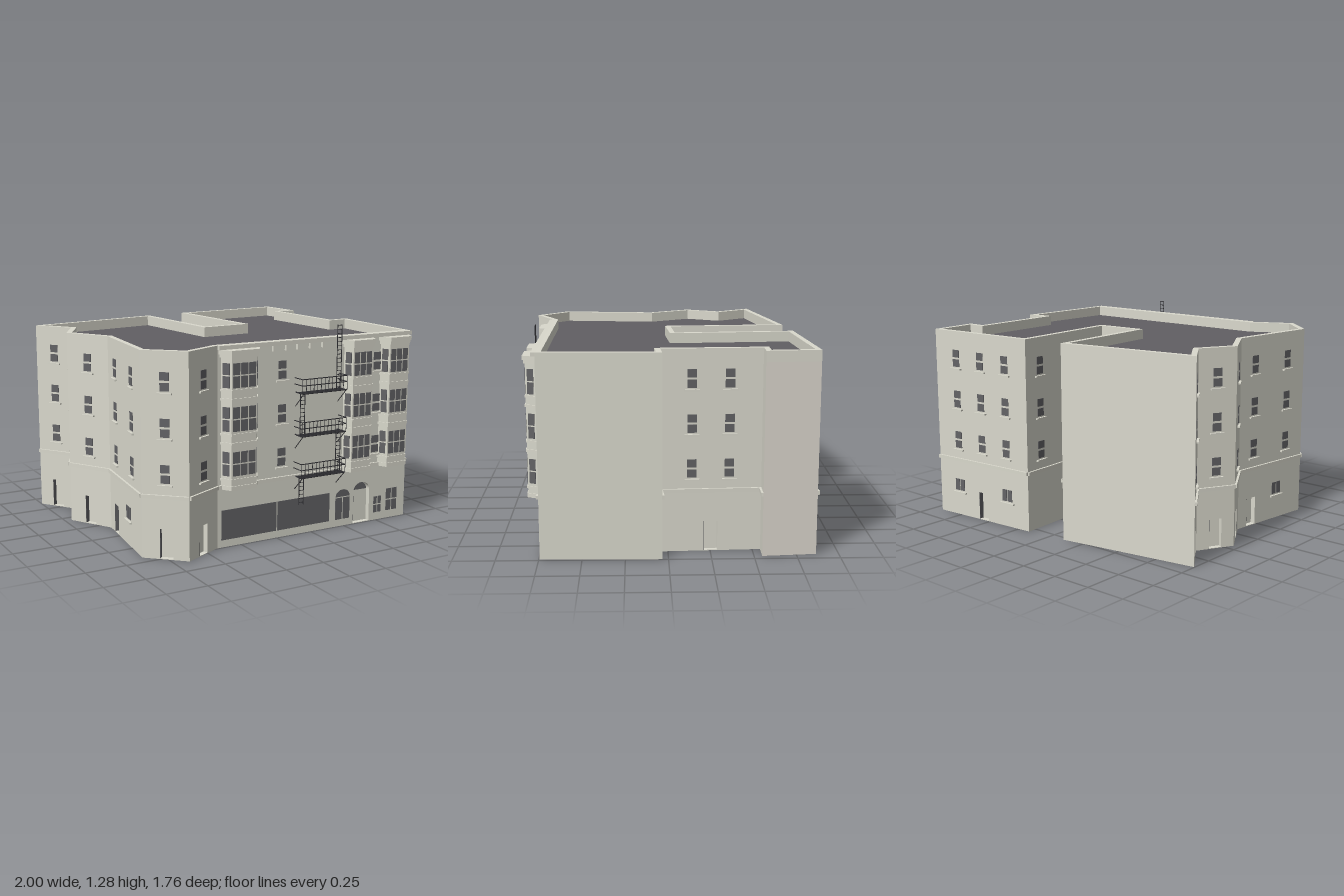
import * as THREE from 'three';

const mat = (name, color, side = THREE.FrontSide) => {
  const m = new THREE.MeshStandardMaterial({ color, side });
  m.name = name;
  return m;
};
const wallMat = mat('stone wall', 0xdad9cd, THREE.DoubleSide);
const warmMat = mat('party wall', 0xdbd6cd, THREE.DoubleSide);
const trimMat = mat('trim', 0xd9d8cc);
const glassMat = mat('glass', 0x636366);
const roofMat = mat('roof', 0x615f63, THREE.DoubleSide);
const ironMat = mat('iron', 0x313135);

const TOP = 1.21, ROOF = 1.145, FRONT = 0.745;
const ROWS = [0.451, 0.718, 0.982];

function add(parent, name, geo, material, x = 0, y = 0, z = 0) {
  const m = new THREE.Mesh(geo, material);
  m.name = name;
  m.position.set(x, y, z);
  parent.add(m);
  return m;
}
const box = (p, name, w, h, d, m, x, y, z) => add(p, name, new THREE.BoxGeometry(w, h, d), m, x, y, z);

// Upright prism from a plan outline of [x, z] points
const planShape = (pts, S = THREE.Shape) => new S(pts.map(([x, z]) => new THREE.Vector2(x, -z)));
function prism(shape, y0, y1) {
  const g = new THREE.ExtrudeGeometry(shape, { depth: y1 - y0, bevelEnabled: false });
  return g.rotateX(-Math.PI / 2).translate(0, y0, 0);
}

// Group whose x runs from a to b and whose z points out of the wall
function faceFrame(parent, name, a, b) {
  const g = new THREE.Group();
  g.name = name;
  g.position.set(a[0], 0, a[1]);
  g.rotation.y = Math.atan2(-(b[1] - a[1]), b[0] - a[0]);
  parent.add(g);
  return g;
}

// Plan outline moved inwards with mitred corners
function inset(pts, t) {
  const n = pts.length;
  const normal = (a, b) => {
    const l = Math.hypot(b[0] - a[0], b[1] - a[1]);
    return [-(b[1] - a[1]) / l, (b[0] - a[0]) / l];
  };
  return pts.map((p, i) => {
    const n1 = normal(pts[(i + n - 1) % n], p), n2 = normal(p, pts[(i + 1) % n]);
    const k = t / (1 + n1[0] * n2[0] + n1[1] * n2[1]);
    return [p[0] - k * (n1[0] + n2[0]), p[1] - k * (n1[1] + n2[1])];
  });
}

// Door outline, centred on x, with an optional arched head
function opening(S, { x, y, w, h, rise = 0 }, grow = 0) {
  const s = new S(), r = w / 2 + grow, bottom = y - Math.min(grow, 0.002), top = y + h - rise + grow;
  s.moveTo(x - r, bottom).lineTo(x + r, bottom).lineTo(x + r, top);
  if (rise) s.absellipse(x, top, r, rise, 0, Math.PI, false);
  else s.lineTo(x - r, top);
  s.closePath();
  return s;
}

// Regular grid of glass panes
function panes(g, x, y, w, h, cols, rows, z, gap = 0.008) {
  const pw = (w - gap * (cols - 1)) / cols, ph = (h - gap * (rows - 1)) / rows;
  for (let i = 0; i < cols; i++) for (let j = 0; j < rows; j++) {
    box(g, 'pane', pw, ph, 0.004, glassMat, x - w / 2 + pw / 2 + i * (pw + gap), y + ph / 2 + j * (ph + gap), z);
  }
}

function fanlight(g, x, y, r, rise, z) {
  const fan = new THREE.Shape();
  fan.absellipse(x, y, r, rise, 0, Math.PI, false);
  add(g, 'fanlight', new THREE.ShapeGeometry(fan), glassMat, 0, 0, z);
}

// Recessed door with a dark jamb on its left
function buildDoor(g, o) {
  const depth = 0.034, rim = opening(THREE.Shape, o, 0.005);
  rim.holes.push(opening(THREE.Path, o));
  add(g, 'doorReveal', new THREE.ExtrudeGeometry(rim, { depth: depth - 0.001, bevelEnabled: false }), trimMat, 0, 0, -depth);
  const leaf = opening(THREE.Shape, o, 0.003);
  add(g, 'door', new THREE.ShapeGeometry(leaf), wallMat, 0, 0, -depth + 0.002);
  add(g, 'doorBack', new THREE.ExtrudeGeometry(leaf, { depth: 0.003, bevelEnabled: false }), glassMat, 0, 0, -depth - 0.003);
  box(g, 'doorJamb', 0.002, o.h - (o.rise ?? 0), depth - 0.002, glassMat, o.x - o.w / 2 + 0.001, o.y + o.h / 2 - (o.rise ?? 0) / 2, -depth / 2);
  if (o.rise) fanlight(g, o.x, o.y + o.h - o.rise, o.w / 2 - 0.004, o.rise - 0.004, -depth + 0.004);
}

// Window of flat panes, with an optional sill and arched head
function buildWindow(g, { x, y, w, h, grid, gap, sill, rise }) {
  panes(g, x, y, w, h, grid[0], grid[1], 0.001, gap);
  if (rise) fanlight(g, x, y + h + 0.007, w / 2, rise, 0.003);
  if (sill) box(g, 'sill', w + 0.033, 0.01, 0.016, trimMat, x, y - 0.014, 0.006);
}

// Flat wall with doors cut out and windows set on its face
function buildWall(parent, name, a, b, doors, windows, { plain = false, material = wallMat } = {}) {
  const L = Math.hypot(b[0] - a[0], b[1] - a[1]);
  const g = faceFrame(parent, name, a, b);
  const s = new THREE.Shape([[0, 0], [L, 0], [L, ROOF], [0, ROOF]].map(p => new THREE.Vector2(...p)));
  for (const d of doors) {
    s.holes.push(opening(THREE.Path, d));
    buildDoor(g, d);
  }
  windows.forEach(w => buildWindow(g, w));
  add(g, 'wallFace', new THREE.ShapeGeometry(s), material);
  if (!plain) box(g, 'band', L, 0.022, 0.014, trimMat, L / 2, 0.372, 0.006);
}

const sash = (x, y) => ({ x, y, w: 0.055, h: 0.108, grid: [1, 2], gap: 0.013, sill: true });
const lowWindow = (x) => ({ x, y: 0.165, w: 0.08, h: 0.075, grid: [2, 1], sill: true });
const door = (x) => ({ x, y: 0.003, w: 0.081, h: 0.178 });

// Faceted bay rising over three floors
function buildBay(parent, x, hw, fw) {
  const g = new THREE.Group();
  g.name = 'bay';
  g.position.set(x, 0, FRONT);
  parent.add(g);
  const d = 0.06;
  const plan = (e) => [[-hw - e, -0.005], [-hw - e, 0], [-fw - e / 2, d + e], [fw + e / 2, d + e], [hw + e, 0], [hw + e, -0.005]];
  add(g, 'bayBody', prism(planShape(plan(0)), 0.37, 1.17), trimMat);
  for (const [y0, y1, e] of [[0.36, 0.385, 0.006], [0.415, 0.428, 0.006], [0.63, 0.645, 0.007], [0.685, 0.697, 0.006],
    [0.89, 0.905, 0.007], [0.945, 0.957, 0.006], [1.14, 1.16, 0.008], [1.16, 1.185, 0.016]]) {
    add(g, 'bayMoulding', prism(planShape(plan(e)), y0, y1), trimMat);
  }
  const p = plan(0);
  for (let i = 1; i < 4; i++) {
    const f = faceFrame(g, 'bayFace', p[i], p[i + 1]);
    const L = Math.hypot(p[i + 1][0] - p[i][0], p[i + 1][1] - p[i][1]);
    for (const y of [0.445, 0.71, 0.966]) {
      const w = i === 2 ? L - 0.016 : L - 0.026;
      panes(f, L / 2, y, w, 0.068, i === 2 ? 3 : 1, 1, 0.001);
      panes(f, L / 2, y + 0.076, w, 0.068, i === 2 ? 3 : 1, 1, 0.001);
    }
  }
}

function bar(parent, name, a, b, r = 0.003) {
  const A = new THREE.Vector3(...a), B = new THREE.Vector3(...b), d = B.clone().sub(A);
  const m = add(parent, name, new THREE.CylinderGeometry(r, r, d.length(), 4), ironMat);
  m.position.copy(A).addScaledVector(d, 0.5);
  m.quaternion.setFromUnitVectors(new THREE.Vector3(0, 1, 0), d.normalize());
}

function buildFireEscape(parent) {
  const g = new THREE.Group();
  g.name = 'fireEscape';
  parent.add(g);
  const x0 = 0.12, x1 = 0.442, z0 = FRONT, z1 = 0.83;
  for (const y of [0.375, 0.632, 0.892]) {
    for (let i = 0; i <= 5; i++) bar(g, 'slat', [x0, y, 0.768 + i * 0.0124], [x1, y, 0.768 + i * 0.0124]);
    for (const h of [0.05, 0.088]) {
      bar(g, 'rail', [x0, y + h, z1], [x1, y + h, z1]);
      for (const x of [x0, x1]) bar(g, 'sideRail', [x, y + h, z0], [x, y + h, z1]);
    }
    for (let i = 0; i <= 12; i++) {
      const x = x0 + (x1 - x0) * i / 12;
      bar(g, 'baluster', [x, y, z1], [x, y + 0.088, z1], 0.002);
      bar(g, 'crossSlat', [x, y, 0.768], [x, y, z1], 0.002);
    }
    for (const x of [x0 + 0.008, x1 - 0.006]) {
      bar(g, 'bracket', [x, y, z1], [x, y - 0.085, z0]);
      bar(g, 'support', [x, y, z0], [x, y, z1], 0.004);
    }
  }
  // Ladders: centre x, bottom, top
  for (const [x, y0, y1] of [[0.148, 0.2, 0.375], [0.413, 0.375, 0.63], [0.148, 0.632, 0.892], [0.408, 0.892, 1.285]]) {
    for (const s of [-1, 1]) bar(g, 'ladderSide', [x + s * 0.016, y0, 0.79], [x + s * 0.016, y1, 0.79], 0.003);
    for (let y = y0 + 0.015; y < y1; y += 0.025) bar(g, 'rung', [x - 0.016, y, 0.79], [x + 0.016, y, 0.79], 0.002);
  }
}

export function createModel() {
  const model = new THREE.Group();
  model.name = 'cornerBuilding';
  const P = [[-0.41, FRONT], [0.98, FRONT], [0.997, 0.036], [0.865, 0.045], [0.838, -0.548], [0.957, -0.548], [0.93, -0.867],
    [0.163, -0.81], [0.22, -0.06], [-0.055, -0.043], [-0.107, -0.78], [-0.997, -0.633], [-0.84, -0.41],
    [-0.957, -0.193], [-0.797, 0.075], [-0.866, 0.674], [-0.658, 0.866]];
  const u = (x) => x - P[0][0];

  // Street front: upper windows, shop windows, arched window, small windows, arched door
  const frontWindows = [
    ...[0.03, 0.73].flatMap(x => ROWS.map(y => sash(u(x), y))),
    { x: u(0.003), y: 0.045, w: 0.773, h: 0.183, grid: [2, 1] },
    { x: u(0.49), y: 0.045, w: 0.108, h: 0.14, grid: [2, 1], rise: 0.046 },
    { x: u(0.763), y: 0.05, w: 0.058, h: 0.105, grid: [2, 2] },
    { x: u(0.875), y: 0.05, w: 0.085, h: 0.145, grid: [2, 2] },
  ];
  const frontDoor = { x: u(0.637), y: 0.003, w: 0.125, h: 0.262, rise: 0.055 };

  // Window columns, doors and low windows of each wall, as fractions of its length
  const walls = [
    'front', 'plain', [[]], [[0.31, 0.68], [0.5]], [[]], 'warm',
    [[0.23, 0.5, 0.77], [0.5], [0.23, 0.77]], [[0.17, 0.5, 0.81], [0.5]], [[0.5]],
    [[0.19, 0.5, 0.8], [0.5], [0.8]], 'plain', [[0.5], [0.5]], [[0.5], [0.5]], [[0.5], [0.5]],
    [[0.22, 0.73], [0.2], [0.6]], [[0.5], [0.52]], [[0.5], [0.5]],
  ];
  P.forEach((a, i) => {
    const b = P[(i + 1) % P.length], w = walls[i];
    const L = Math.hypot(b[0] - a[0], b[1] - a[1]);
    if (w === 'front') buildWall(model, 'streetFront', a, b, [frontDoor], frontWindows);
    else if (w === 'plain') buildWall(model, 'plainWall', a, b, [], [], { plain: true });
    else if (w === 'warm') buildWall(model, 'partyWall', a, b, [], [], { plain: true, material: warmMat });
    else {
      const [cols, doors = [], low = []] = w;
      const windows = [...cols.flatMap(f => ROWS.map(y => sash(f * L, y))), ...low.map(f => lowWindow(f * L))];
      buildWall(model, 'wall', a, b, doors.map(f => door(f * L)), windows);
    }
  });

  // Parapet ring and sunken flat roof
  const ring = planShape(P);
  ring.holes.push(planShape(inset(P, 0.033), THREE.Path));
  add(model, 'parapet', prism(ring, ROOF, TOP), wallMat);
  add(model, 'roof', new THREE.ShapeGeometry(planShape(inset(P, 0.01))).rotateX(-Math.PI / 2), roofMat, 0, ROOF + 0.002, 0);

  // Front cornice and corbels
  box(model, 'cornice', 1.39, 0.024, 0.026, trimMat, 0.285, 1.198, FRONT + 0.01);
  for (const x of [-0.04, 0.05, 0.13, 0.22, 0.31]) box(model, 'corbel', 0.01, 0.035, 0.02, trimMat, x, 1.168, FRONT + 0.008);

  buildBay(model, -0.265, 0.122, 0.084);
  buildBay(model, 0.577, 0.1, 0.072);
  buildBay(model, 0.855, 0.1, 0.072);
  buildFireEscape(model);
  return model;
}
